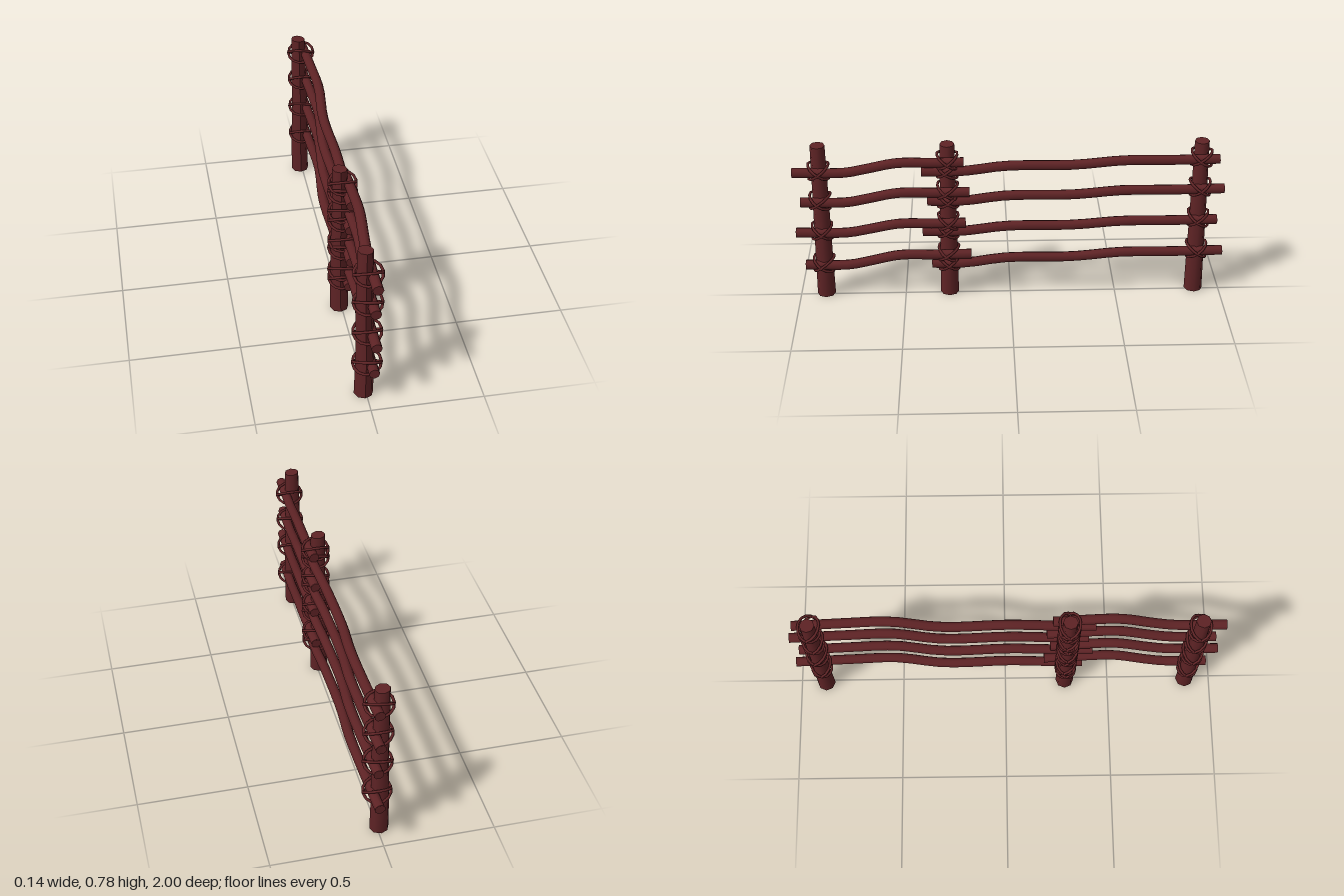
import * as THREE from 'three';
import { mergeGeometries } from 'three/addons/utils/BufferGeometryUtils.js';

const wood = new THREE.MeshStandardMaterial({ color: 0x5e2325 });
wood.name = 'dark red wood';

function addMesh(parent, geometry, name) {
  const mesh = new THREE.Mesh(geometry, wood);
  mesh.name = name;
  parent.add(mesh);
  return mesh;
}

// Bent round pole through the given points, closed at both ends
function poleGeometry(points, radius) {
  const curve = new THREE.CatmullRomCurve3(points.map(p => new THREE.Vector3(...p)), false, 'centripetal');
  const parts = [new THREE.TubeGeometry(curve, 20, radius, 8, false)];
  for (const t of [0, 1]) {
    const outward = curve.getTangent(t).multiplyScalar(t ? 1 : -1);
    const cap = new THREE.CircleGeometry(radius, 8);
    cap.applyQuaternion(new THREE.Quaternion().setFromUnitVectors(new THREE.Vector3(0, 0, 1), outward));
    const p = curve.getPoint(t);
    cap.translate(p.x, p.y, p.z);
    parts.push(cap);
  }
  return mergeGeometries(parts);
}

// Slightly uneven tapered post with a slanted top
function postGeometry(seed) {
  const g = new THREE.CylinderGeometry(0.034, 0.043, 0.78, 8, 4);
  g.translate(0, 0.39, 0);
  const pos = g.attributes.position;
  for (let i = 0; i < pos.count; i++) {
    const y = pos.getY(i);
    if (y > 0.77) pos.setY(i, y - 0.003 + pos.getX(i) * -0.08);
    else if (y > 0.01) pos.setX(i, pos.getX(i) + 0.003 * Math.sin(y * 9 + seed));
  }
  g.computeVertexNormals();
  return g;
}

export function createModel() {
  const group = new THREE.Group();
  group.name = 'fence';
  const postZ = [0.88, 0.29, -0.88];

  // Posts
  postZ.forEach((z, i) => {
    const post = addMesh(group, postGeometry(i * 2), 'post');
    post.position.set(-0.01, 0, z);
  });

  // Rails: [low y, high y, short start, short end, long start, long end]
  const rows = [
    [0.173, 0.222, 0.965, 0.185, 0.37, -1.0],
    [0.345, 0.388, 1.0, 0.21, 0.41, -0.965],
    [0.503, 0.548, 0.97, 0.19, 0.385, -0.99],
    [0.655, 0.7, 1.0, 0.215, 0.41, -0.96],
  ];
  for (const [low, high, s0, s1, l0, l1] of rows) {
    const rise = high - low;
    addMesh(group, poleGeometry([
      [0.02, low, s0], [0.022, low - 0.002, 0.76], [0.026, low + rise * 0.4, 0.66],
      [0.034, high + 0.004, 0.52], [0.032, high + 0.002, 0.36], [0.025, high, s1],
    ], 0.024), 'shortRail');
    addMesh(group, poleGeometry([
      [0.022, low, l0], [0.024, low, 0.22], [0.022, low + rise * 0.5, 0.02],
      [0.016, low + rise * 0.45, -0.29], [0.034, high + 0.003, -0.52],
      [0.03, high, -0.72], [0.02, high - 0.002, l1],
    ], 0.024), 'longRail');
  }

  // Rope lashings: two loops crossing over each joint
  const loop = new THREE.TorusGeometry(0.061, 0.0065, 6, 14);
  loop.rotateX(Math.PI / 2);
  function addLashing(y, z, turn) {
    const lashing = new THREE.Group();
    lashing.name = 'lashing';
    for (const side of [-1, 1]) {
      const rope = addMesh(lashing, loop, 'ropeLoop');
      rope.rotation.set(side * 0.62, 0, side * 0.06);
      rope.scale.set(1.02, 1, 0.95);
    }
    lashing.position.set(0.003, y, z);
    lashing.rotation.y = turn;
    group.add(lashing);
  }
  rows.forEach(([low, high], i) => {
    const turn = (i % 2 ? 1 : -1) * 0.1;
    addLashing(low, postZ[0], turn);
    addLashing(low, postZ[1], -turn);
    addLashing(high, postZ[1], turn);
    addLashing(high, postZ[2], -turn);
  });

  return group;
}
